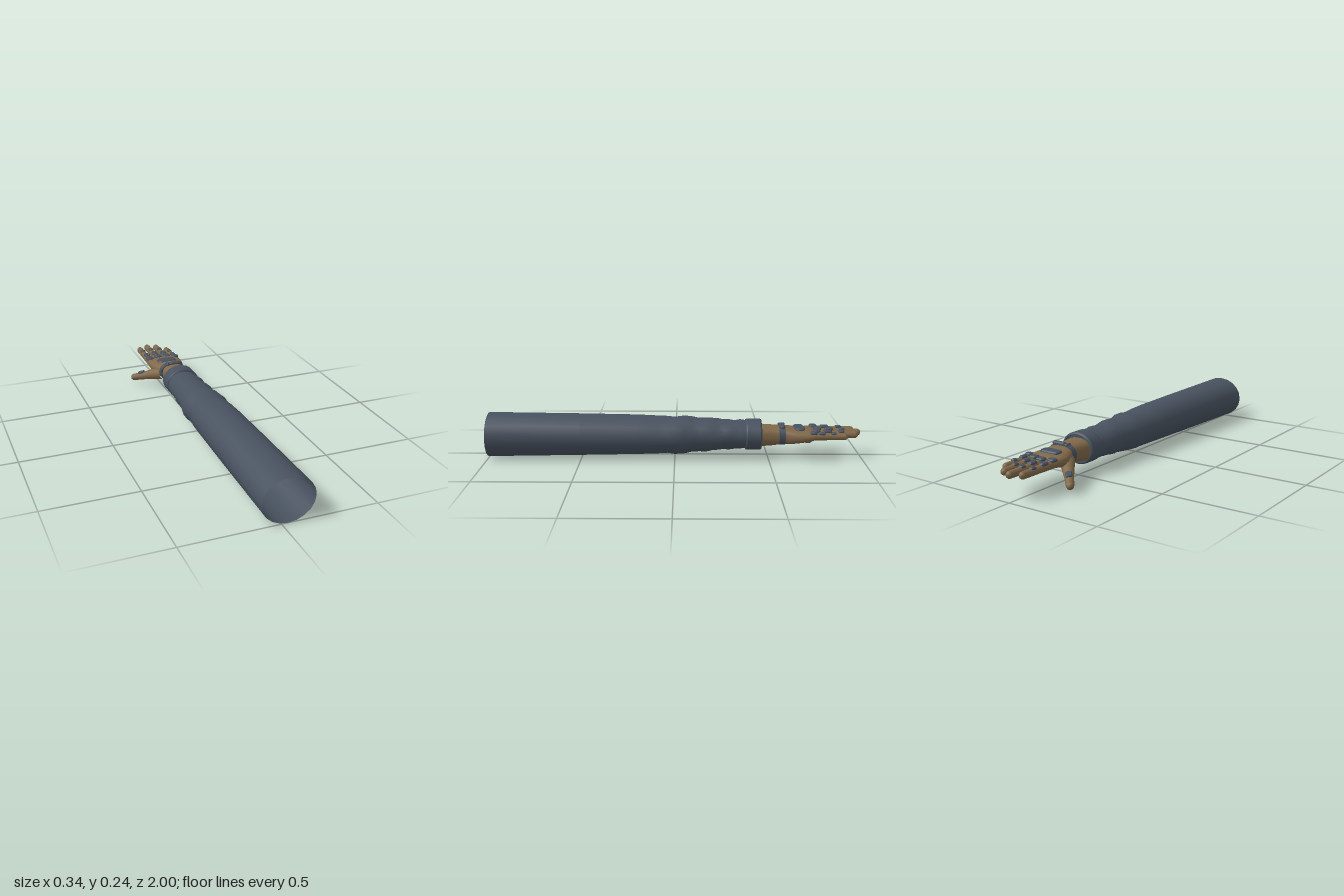
import * as THREE from 'three';

const slate = new THREE.MeshStandardMaterial({ color: 0x48525f, side: THREE.DoubleSide });
slate.name = 'slate cloth';
const tan = new THREE.MeshStandardMaterial({ color: 0x80684a });
tan.name = 'tan glove';

// Skins rings running towards -z. Each section is [z, cx, cy, rx, ry];
// power below 1 squares the ring, wave(angle, z) scales it. A repeated section makes a sharp edge.
function loft(sections, { sides = 20, power = 1, wave = () => 1 } = {}) {
  const pos = [], idx = [];
  const bend = v => Math.sign(v) * Math.pow(Math.abs(v), power);
  sections.forEach(([z, cx, cy, rx, ry], i) => {
    for (let j = 0; j < sides; j++) {
      const a = (j / sides) * Math.PI * 2, k = wave(a, z);
      pos.push(cx + rx * k * bend(Math.cos(a)), cy + ry * k * bend(Math.sin(a)), z);
      if (i === sections.length - 1) continue;
      const n = (j + 1) % sides, p = i * sides;
      idx.push(p + j, p + sides + j, p + n, p + n, p + sides + j, p + sides + n);
    }
  });
  const g = new THREE.BufferGeometry();
  g.setAttribute('position', new THREE.Float32BufferAttribute(pos, 3));
  g.setIndex(idx);
  g.computeVertexNormals();
  return g;
}

function add(parent, name, geometry, material) {
  const mesh = new THREE.Mesh(geometry, material);
  mesh.name = name;
  parent.add(mesh);
  return mesh;
}

// Tapered, round-tipped digit along -z
function digit(len, r0, r1, flat = 1) {
  const s = [[0, r0], [-len * 0.3, r0 * 0.65 + r1 * 0.35], [-len * 0.6, r0 * 0.2 + r1 * 0.8]];
  for (let i = 0; i <= 4; i++) {
    const a = (i / 4) * Math.PI / 2;
    s.push([-len + r1 - r1 * Math.sin(a), r1 * Math.cos(a)]);
  }
  return loft(s.map(([z, r]) => [z, 0, 0, r, r * flat]), { sides: 12 });
}

// Rounded armour pad lying flat, with a chamfered top
function pad(parent, name, x, y, z, w, l, h) {
  const a = w / 2, b = l / 2, c = h * 0.4;
  const rim = [-h + c, 0, 0, a, b], top = [-h, 0, 0, a - c, b - c];
  const g = loft([[0, 0, 0, 0, 0], [0, 0, 0, a, b], [0, 0, 0, a, b], rim, rim, top, top, [-h, 0, 0, 0, 0]],
    { sides: 16, power: 0.5 });
  const m = add(parent, name, g, slate);
  m.rotation.x = Math.PI / 2;
  m.position.set(x, y, z);
  return m;
}

export function createModel() {
  const model = new THREE.Group();
  model.name = 'glovedArm';

  // Sleeve: z, left, right, bottom, top of each ring, with wrinkles below the elbow
  const sleeve = [
    [1, -0.103, 0.17, 0, 0.236], [0.5, -0.096, 0.165, 0.009, 0.23], [0.2, -0.09, 0.16, 0.015, 0.225],
    [0.1, -0.088, 0.157, 0.018, 0.22], [0.04, -0.082, 0.153, 0.02, 0.216], [0, -0.083, 0.158, 0.018, 0.215],
    [-0.05, -0.087, 0.15, 0.018, 0.22], [-0.09, -0.082, 0.142, 0.025, 0.214], [-0.13, -0.074, 0.138, 0.03, 0.208],
    [-0.17, -0.072, 0.14, 0.031, 0.21], [-0.2, -0.067, 0.135, 0.036, 0.208], [-0.23, -0.071, 0.134, 0.036, 0.205],
    [-0.26, -0.066, 0.13, 0.042, 0.199], [-0.29, -0.069, 0.135, 0.042, 0.203], [-0.32, -0.062, 0.129, 0.046, 0.196],
    [-0.35, -0.065, 0.131, 0.045, 0.2], [-0.38, -0.058, 0.126, 0.048, 0.195], [-0.45, -0.054, 0.123, 0.046, 0.193],
  ].map(([z, l, r, b, t]) => [z, (l + r) / 2, (b + t) / 2, (r - l) / 2, (t - b) / 2]);
  const wave = (a, z) => 1 + (z < 0.1 && z > -0.4 ? 0.022 * Math.sin(3 * a + z * 45) : 0);
  add(model, 'sleeve', loft(sleeve, { wave }), slate);

  // Cuff band with a turned-in lip and closing disc
  const cuff = (z, rx, ry) => [z, 0.034, 0.122, rx, ry];
  add(model, 'cuff', loft([
    cuff(-0.378, 0.088, 0.073), cuff(-0.378, 0.095, 0.08), cuff(-0.386, 0.098, 0.083), cuff(-0.386, 0.098, 0.083),
    cuff(-0.454, 0.098, 0.083), cuff(-0.454, 0.098, 0.083), cuff(-0.462, 0.094, 0.079), cuff(-0.462, 0.086, 0.072),
    cuff(-0.462, 0.086, 0.072), cuff(-0.45, 0.086, 0.072), cuff(-0.45, 0.086, 0.072), cuff(-0.45, 0, 0),
  ], { sides: 24 }), slate);

  // Wrist and palm
  add(model, 'palm', loft([
    [-0.44, 0.034, 0.118, 0.074, 0.058], [-0.52, 0.035, 0.119, 0.068, 0.053], [-0.57, 0.036, 0.122, 0.067, 0.048],
    [-0.61, 0.034, 0.12, 0.084, 0.044], [-0.65, 0.033, 0.12, 0.096, 0.039], [-0.7, 0.033, 0.123, 0.1, 0.033],
    [-0.735, 0.033, 0.126, 0.099, 0.027], [-0.755, 0.033, 0.128, 0.09, 0.016], [-0.76, 0.033, 0.128, 0, 0],
  ], { sides: 24, power: 0.75 }), tan);
  pad(model, 'backOfHandPlate', 0.031, 0.15, -0.665, 0.112, 0.06, 0.015);

  // Wrist strap with buckle
  const strap = (z, g) => [z, 0.036, 0.123, 0.07 + g, 0.047 + g];
  add(model, 'wristStrap', loft([
    strap(-0.556, -0.006), strap(-0.556, 0.006), strap(-0.556, 0.006),
    strap(-0.588, 0.006), strap(-0.588, 0.006), strap(-0.588, -0.006),
  ], { sides: 24, power: 0.85 }), slate);
  pad(model, 'strapBuckle', 0.057, 0.167, -0.572, 0.075, 0.03, 0.014);
  pad(model, 'strapKeeper', 0.005, 0.167, -0.572, 0.02, 0.038, 0.012);

  // Fingers: name, x, tip z, radius, pad positions
  const fingers = [
    ['index', -0.047, -0.973, 0.018, [-0.75, -0.812, -0.888]],
    ['middle', 0.008, -1, 0.018, [-0.765, -0.828, -0.897]],
    ['ring', 0.06, -0.978, 0.018, [-0.755, -0.815, -0.888]],
    ['little', 0.109, -0.915, 0.0165, [-0.735, -0.778, -0.84]],
  ];
  const sizes = [[0.044, 0.042], [0.032, 0.048], [0.028, 0.034]];
  for (const [name, x, tip, r, pads] of fingers) {
    const group = new THREE.Group();
    group.name = name + 'Finger';
    const finger = add(group, name + 'Digit', digit(-0.7 - tip, r * 1.2, r, 1.05), tan);
    finger.position.set(x, 0.128, -0.7);
    pads.forEach((z, i) => {
      const scale = name === 'little' ? 0.85 : 1;
      pad(group, name + 'Pad' + (i + 1), x, [0.143, 0.14, 0.139][i], z, sizes[i][0] * scale, sizes[i][1] * scale, 0.013);
    });
    model.add(group);
  }

  // Thumb, reaching out and down
  const thumb = new THREE.Group();
  thumb.name = 'thumb';
  const base = new THREE.Vector3(-0.018, 0.105, -0.605), end = new THREE.Vector3(-0.164, 0.035, -0.762);
  const dir = end.clone().sub(base);
  add(thumb, 'thumbDigit', digit(dir.length(), 0.038, 0.02), tan);
  pad(thumb, 'thumbPad', 0, 0.017, -0.145, 0.034, 0.04, 0.014);
  thumb.position.copy(base);
  thumb.quaternion.setFromUnitVectors(new THREE.Vector3(0, 0, -1), dir.normalize());
  model.add(thumb);

  return model;
}
